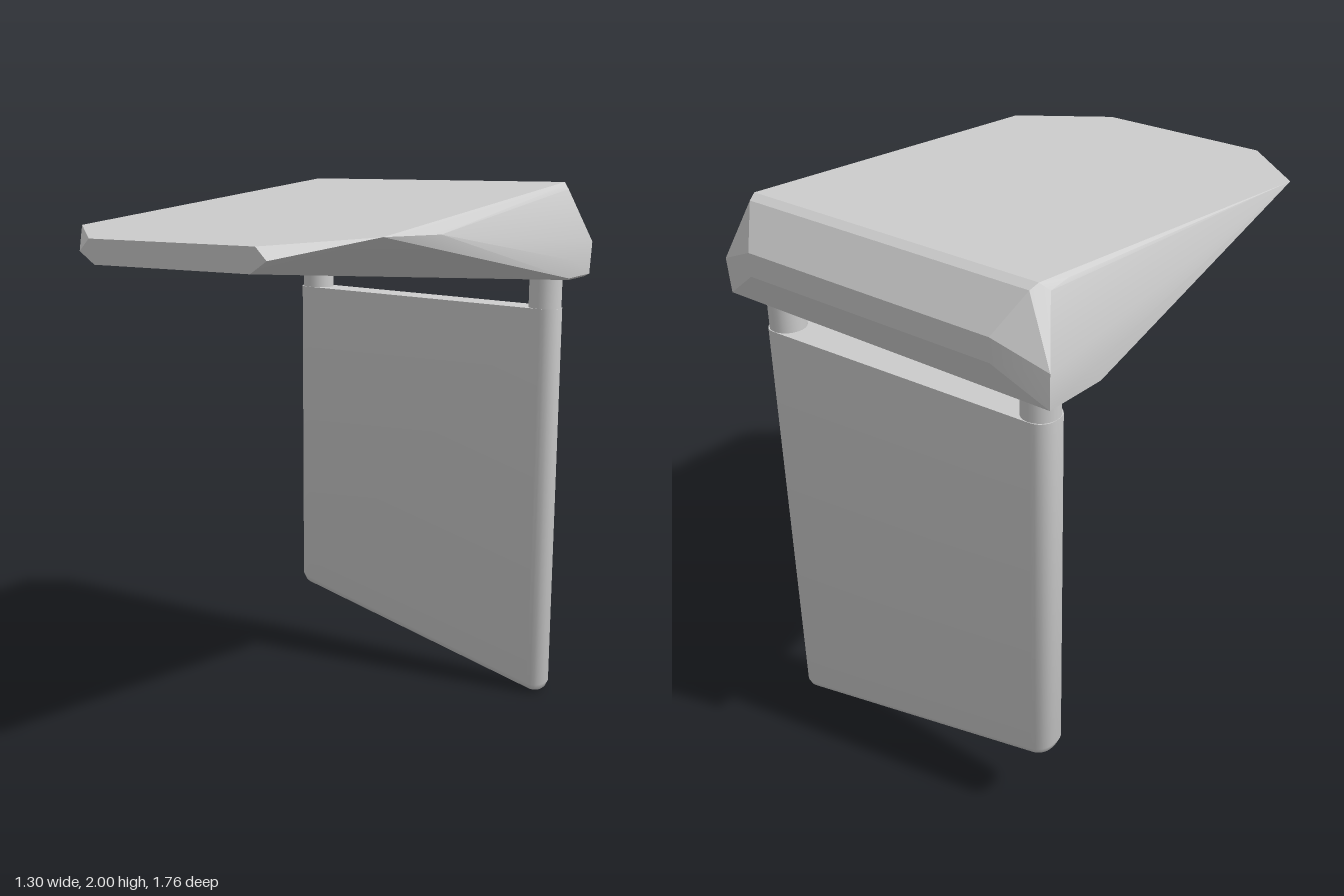
import * as THREE from 'three';
import { toCreasedNormals } from 'three/addons/utils/BufferGeometryUtils.js';
import { ConvexGeometry } from 'three/addons/geometries/ConvexGeometry.js';

const grey = new THREE.MeshStandardMaterial({ color: 0xcccccc });
grey.name = 'light grey';

function add(group, name, geometry) {
  const mesh = new THREE.Mesh(geometry, grey);
  mesh.name = name;
  group.add(mesh);
  return mesh;
}

// Faceted wedge slab: half of its corners, mirrored across x
function slabGeometry() {
  const half = [
    [0.30, 1.77, 0.88], [0.36, 1.81, 0.88], [0.32, 1.85, 0.88], // front lip
    [0.59, 1.872, 0.62],                                       // cut corner
    [0.57, 1.98, -0.65], [0.575, 1.975, -0.74], [0.55, 1.99, -0.69],
    [0.55, 2.0, -0.76], [0.54, 1.985, -0.79],                  // rear ridge
    [0.47, 1.86, -0.88], [0.47, 1.78, -0.88],                  // rear bulge
    [0.64, 1.78, -0.83], [0.635, 1.66, -0.825],
    [0.62, 1.65, -0.81], [0.65, 1.72, -0.65],                  // rear corner
    [0.65, 1.66, -0.6], [0.63, 1.65, -0.64],
  ];
  const points = [];
  for (const [x, y, z] of half) {
    points.push(new THREE.Vector3(x, y, z), new THREE.Vector3(-x, y, z));
  }
  // One side swells a little ahead of the middle
  points.push(new THREE.Vector3(0.62, 1.865, 0.32));
  return toCreasedNormals(new ConvexGeometry(points), 0.4);
}

// Upright panel: rounded cross-sections stacked between two sloping ends
function panelGeometry() {
  const cx = -0.0075, cz = -0.715, hx = 0.5775, hz = 0.064, r = 0.055, seg = 6;
  const bottom = (x) => Math.max(0, 0.28 - (x + 0.585) * 0.25);
  const top = (x) => 1.56 - (x + 0.46) * 0.026;
  const outline = (inset) => {
    const pts = [];
    [[1, 1], [-1, 1], [-1, -1], [1, -1]].forEach(([sx, sz], q) => {
      for (let i = 0; i <= seg; i++) {
        const a = (q + i / seg) * Math.PI / 2;
        pts.push([
          cx + sx * (hx - r) + Math.cos(a) * (r - inset),
          cz + sz * (hz - r) + Math.sin(a) * (r - inset),
        ]);
      }
    });
    return pts;
  };
  const rings = [[0.035, 0], [0.012, 0.01], [0, 0.035]].map(([inset, lift]) =>
    outline(inset).map(([x, z]) => [x, bottom(x) + lift, z]));
  rings.push(outline(0).map(([x, z]) => [x, top(x), z]));

  const n = rings[0].length, pos = [];
  const tri = (a, b, c) => pos.push(...a, ...b, ...c);
  const first = rings[0], last = rings[rings.length - 1];
  for (let i = 0; i < n; i++) {
    const j = (i + 1) % n;
    for (let k = 0; k < rings.length - 1; k++) {
      const low = rings[k], up = rings[k + 1];
      tri(low[i], up[i], low[j]);
      tri(low[j], up[i], up[j]);
    }
    tri([cx, bottom(cx), cz], first[i], first[j]);
    tri([cx, top(cx), cz], last[j], last[i]);
  }
  const geometry = new THREE.BufferGeometry();
  geometry.setAttribute('position', new THREE.Float32BufferAttribute(pos, 3));
  return toCreasedNormals(geometry, 0.9);
}

export function createModel() {
  const group = new THREE.Group();
  group.name = 'slabOnPanel';
  add(group, 'topSlab', slabGeometry());
  add(group, 'uprightPanel', panelGeometry());

  // Short round posts joining panel and slab
  for (const [name, x] of [['rightPost', -0.522], ['leftPost', 0.508]]) {
    const post = add(group, name, new THREE.CylinderGeometry(0.062, 0.062, 0.2, 24));
    post.position.set(x, 1.6, -0.715);
  }
  return group;
}
